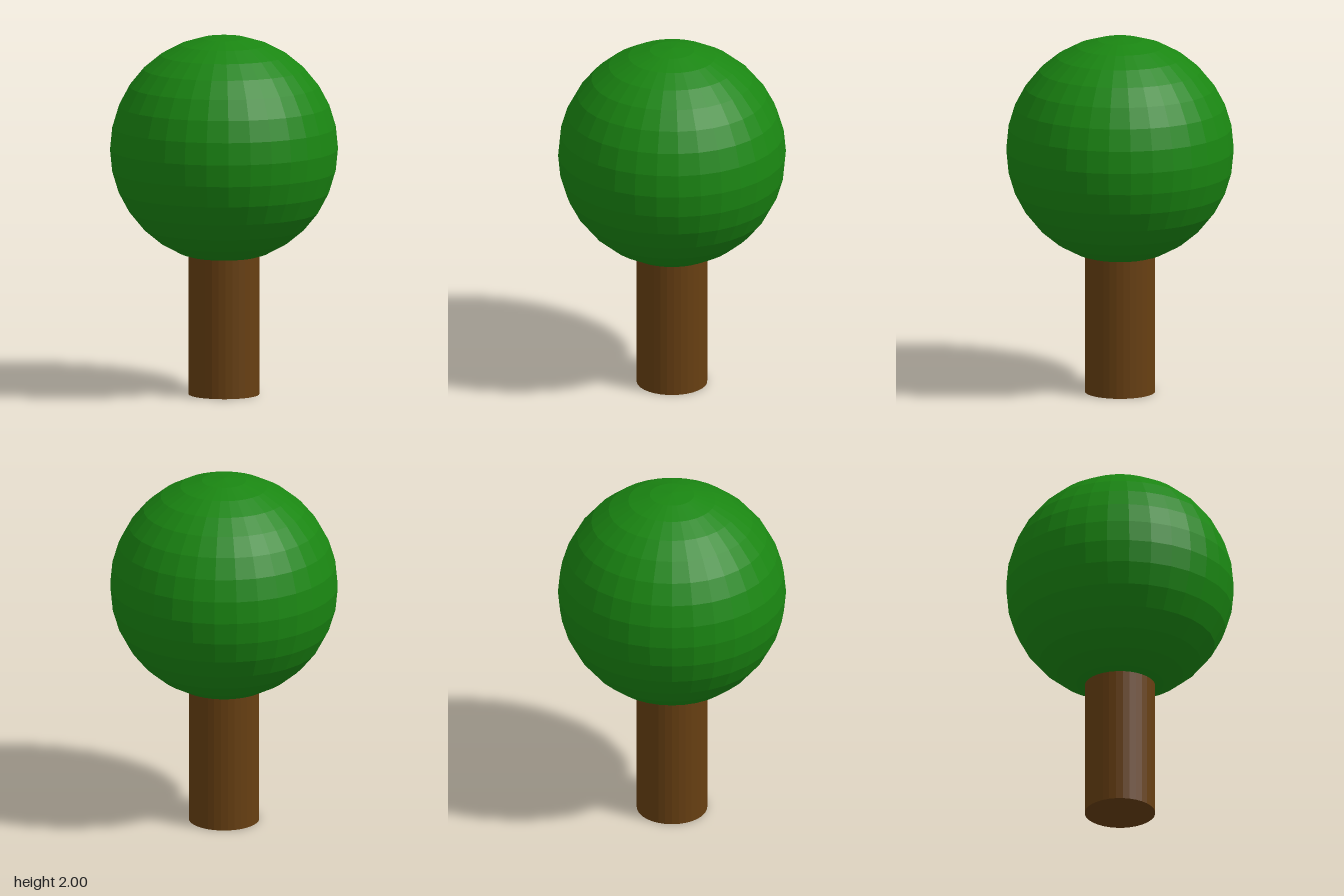
import * as THREE from 'three';

const material = (color) => new THREE.MeshStandardMaterial({ color, flatShading: true });

function addPart(group, name, geometry, color, y) {
  const mesh = new THREE.Mesh(geometry, material(color));
  mesh.name = name;
  mesh.position.y = y;
  group.add(mesh);
}

export function createModel() {
  const tree = new THREE.Group();
  tree.name = 'tree';

  const crownRadius = 0.63;
  const trunkRadius = 0.195;
  const trunkHeight = 0.79; // ends just inside the crown

  // Straight round trunk
  addPart(tree, 'trunk',
    new THREE.CylinderGeometry(trunkRadius, trunkRadius, trunkHeight, 32),
    0x673f12, trunkHeight / 2);

  // Faceted ball of leaves
  addPart(tree, 'crown',
    new THREE.SphereGeometry(crownRadius, 32, 16),
    0x1a8612, 2 - crownRadius);

  return tree;
}
